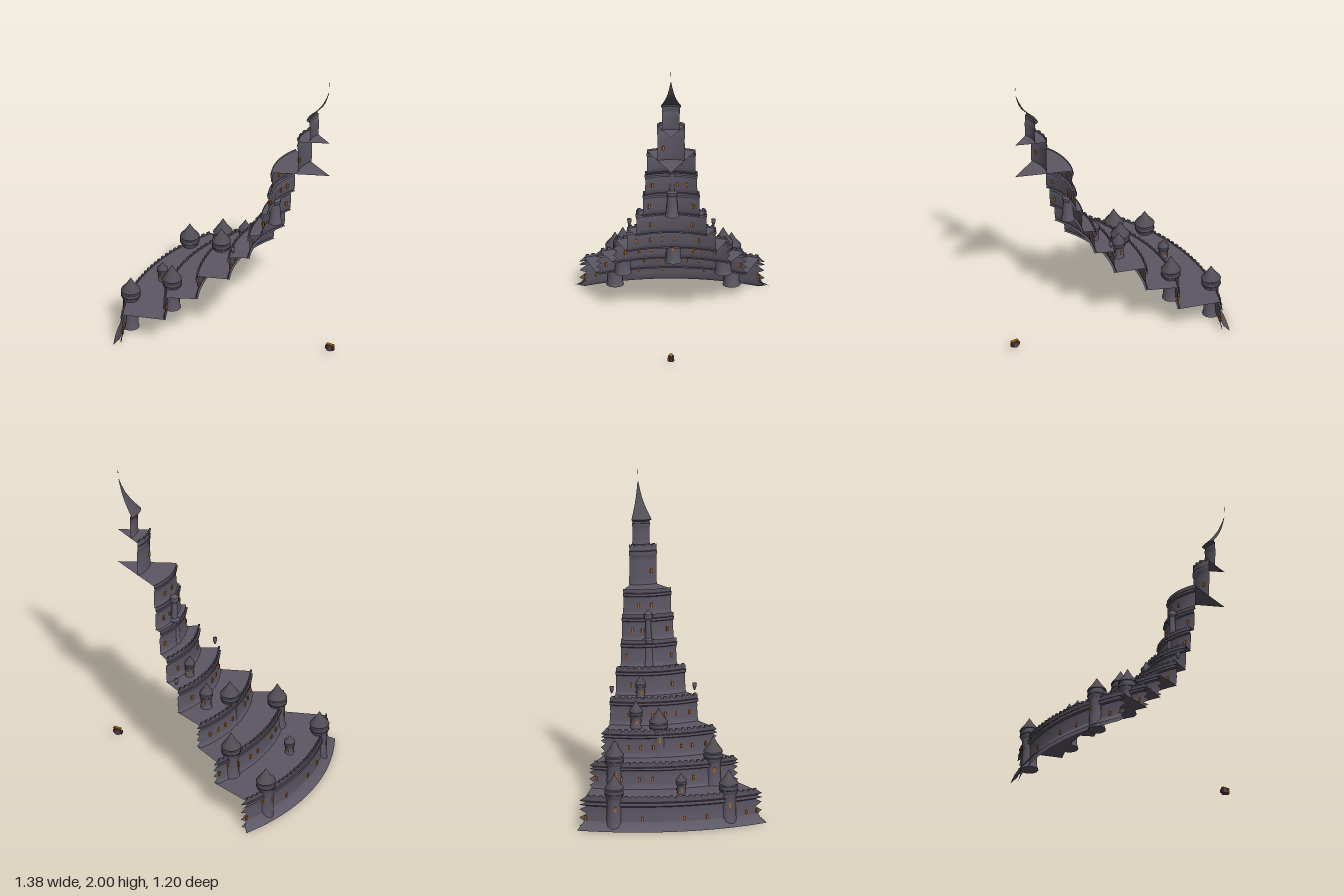
import * as THREE from 'three';
import { toCreasedNormals } from 'three/addons/utils/BufferGeometryUtils.js';

const AXIS = 0.66; // x of the vertical axis the wedge is swept around
const RAD = Math.PI / 180;

function mat(name, color, side = THREE.DoubleSide) {
  const m = new THREE.MeshStandardMaterial({ color, side });
  m.name = name;
  return m;
}

// Sweeps a profile of [radius, y, halfAngle] points around the axis
function sweep(profile, segs = 20) {
  const pos = [], idx = [];
  for (const [r, y, half] of profile) {
    for (let j = 0; j <= segs; j++) {
      const a = (j / segs * 2 - 1) * half * RAD;
      pos.push(AXIS - r * Math.cos(a), y, r * Math.sin(a));
    }
  }
  const w = segs + 1;
  for (let i = 0; i < profile.length - 1; i++) {
    for (let j = 0; j < segs; j++) {
      const p = i * w + j;
      idx.push(p, p + 1, p + w, p + 1, p + w + 1, p + w);
    }
  }
  const g = new THREE.BufferGeometry();
  g.setAttribute('position', new THREE.Float32BufferAttribute(pos, 3));
  g.setIndex(idx);
  return toCreasedNormals(g, 0.5);
}

export function createModel() {
  const root = new THREE.Group();
  root.name = 'tieredCastle';
  const stone = mat('stone', 0x5c5764);
  const roof = mat('roofSlate', 0x504d54);
  const dark = mat('darkTrim', 0x46424b);
  const glow = mat('windowGlow', 0xb0651a);
  const red = mat('ember', 0x7a2a20);

  const add = (name, geo, material, x = 0, y = 0, z = 0, parent = root) => {
    const m = new THREE.Mesh(geo, material);
    m.name = name;
    m.position.set(x, y, z);
    parent.add(m);
    return m;
  };
  // Places a mesh on a circle round the axis, facing outwards
  const onArc = (name, geo, material, r, y, a) => {
    const m = add(name, geo, material, AXIS - r * Math.cos(a), y, r * Math.sin(a));
    m.rotation.y = a;
    return m;
  };

  // Tiers: radius, base y, top y, half angle, jagged ends, window z positions
  const tiers = [
    { r: 1.3, y0: 0, y1: 0.2, a: 24.8, jag: 1.6, win: [0.54, 0.47, 0.21, 0.06, -0.2, -0.4, -0.54] },
    { r: 1.03, y0: 0.2, y1: 0.355, a: 25.8, jag: 1.4, win: [0.41, 0.17, 0.09, -0.09, -0.17, -0.28, -0.43] },
    { r: 0.83, y0: 0.355, y1: 0.515, a: 24.8, jag: 1.4, win: [0.29, 0.2, 0.13, -0.05, -0.13, -0.2, -0.27] },
    { r: 0.63, y0: 0.515, y1: 0.675, a: 26, jag: 0.3, win: [0.22, 0.13, 0.06, -0.02, -0.17] },
    { r: 0.505, y0: 0.675, y1: 0.84, a: 25.8, jag: 0, win: [0.13, -0.13] },
    { r: 0.425, y0: 0.84, y1: 1.0, a: 24.5, jag: 0, win: [0.14, -0.14] },
    { r: 0.385, y0: 1.0, y1: 1.155, a: 25, jag: 0, win: [0.12, -0.04, -0.1] },
    { r: 0.365, y0: 1.155, y1: 1.31, a: 24.5, jag: 0, win: [0.02, -0.06] },
    { r: 0.2, y0: 1.31, y1: 1.55, a: 25.5, jag: 0, win: [0.05] },
    { r: 0.125, y0: 1.55, y1: 1.7, a: 26, jag: 0, win: [] },
  ];
  tiers.forEach((t, i) => {
    const h = t.y1 - t.y0, s = Math.min(1, t.r * 2);
    const shape = [[0.012, 0], [0.002, 0.1], [0, 0.22], [-0.002, 0.36], [-0.004, 0.5], [-0.004, 0.62],
      [-0.003, 0.74], [0.008, 0.78], [0.008, 0.86], [-0.001, 0.9], [0.002, 1.06]];
    const wall = shape.map(([d, k], n) =>
      [t.r + d * s, t.y0 + h * k, t.a + (n % 2 ? t.jag : -t.jag * 0.3)]);
    add('tierWall', sweep(wall), stone);

    // Thin dark moulding under the parapet
    add('moulding', sweep([[t.r + 0.009 * s, t.y0 + h * 0.86, t.a], [t.r + 0.011 * s, t.y0 + h * 0.89, t.a],
      [t.r, t.y0 + h * 0.9, t.a]]), dark);

    // Terrace from this wall back to the next one, or to the axis near the top
    const next = tiers[i + 1];
    if (next) {
      const inner = i >= 7 ? 0.001 : next.r - 0.005;
      add('terrace', sweep([[t.r, t.y1, t.a], [inner, t.y1, next.a + next.jag * 0.5]]), stone);
    }

    // Low merlons along the parapet
    if (i < 5 || i === 8) {
      const count = Math.round(t.r * 2 * t.a * RAD / 0.04);
      const geo = new THREE.BoxGeometry(0.01, 0.014, 0.02);
      for (let k = 0; k < count; k++) {
        onArc('merlon', geo, stone, t.r, t.y1 + 0.012, ((k + 0.5) / count * 2 - 1) * t.a * RAD);
      }
    }

    // Lit windows, seen from both sides of the wall
    for (const z of t.win) {
      const a = Math.asin(z / t.r);
      for (const d of [-0.007, 0.004]) {
        onArc('window', new THREE.BoxGeometry(0.008, 0.026, 0.013), glow, t.r + d, t.y0 + h * 0.27 + 0.02, a);
      }
    }
  });

  // Sloping foot of the lowest wall
  add('baseFlare', sweep([[1.352, 0, 26.4], [1.335, 0.015, 26], [1.315, 0.03, 25.4], [1.303, 0.055, 25]]), stone);

  // Swept-up roof of the top turret
  add('spireRoof', sweep([[0.125, 1.695, 26], [0.145, 1.71, 26], [0.11, 1.745, 26], [0.075, 1.785, 26],
    [0.045, 1.83, 26], [0.02, 1.885, 26], [0.006, 1.925, 26]], 10), roof);
  add('finial', new THREE.CylinderGeometry(0.001, 0.002, 0.03, 5), dark, AXIS, 1.985, 0);

  // Round towers: x, z, base y, eaves y, tip y, roof radius
  const towers = [
    [-0.57, 0.355, 0, 0.27, 0.355, 0.062], [-0.57, -0.37, 0, 0.27, 0.355, 0.062],
    [-0.3, 0.305, 0.2, 0.415, 0.51, 0.062], [-0.3, -0.32, 0.2, 0.415, 0.51, 0.062],
    [-0.13, -0.01, 0.355, 0.575, 0.66, 0.06],
    [-0.03, -0.135, 0.51, 0.625, 0.69, 0.043],
    [0.115, -0.08, 0.67, 0.765, 0.82, 0.034],
    [-0.51, 0.065, 0.185, 0.285, 0.33, 0.035],
  ];
  const v = (a) => a.map(([x, y]) => new THREE.Vector2(x, y));
  for (const [x, z, y0, y1, tip, r] of towers) {
    const g = new THREE.Group();
    g.name = 'roundTower';
    g.position.set(x, 0, z);
    root.add(g);
    const crown = r * 1.1;
    add('towerShaft', toCreasedNormals(new THREE.LatheGeometry(v([[0, y0], [r * 0.9, y0],
      [r * 0.78, y0 + r * 0.4], [r * 0.76, y1 - crown], [r * 0.95, y1 - crown * 0.7],
      [r * 0.97, y1 - crown * 0.25], [r * 0.85, y1 - crown * 0.2], [r * 0.85, y1]]), 18), 0.6), stone, 0, 0, 0, g);
    add('towerRoof', toCreasedNormals(new THREE.LatheGeometry(v([[r * 0.8, y1 - 0.004], [r, y1 - 0.004],
      [r * 0.92, y1 + 0.006], [r * 0.45, y1 + (tip - y1) * 0.48], [0.0005, tip]]), 18), 0.6), roof, 0, 0, 0, g);
    const ring = add('towerRing', new THREE.TorusGeometry(r * 0.95, r * 0.05, 6, 18), dark, 0, y1 - crown * 0.6, 0, g);
    ring.rotation.x = Math.PI / 2;
    // Narrow lit slits round the shaft
    for (let k = 0; k < 4; k++) {
      const a = k * Math.PI / 2, d = r * 0.77;
      const slit = add('towerWindow', new THREE.BoxGeometry(0.012, r * 0.5, 0.006), glow,
        Math.sin(a) * d, y0 + (y1 - crown - y0) * 0.68, Math.cos(a) * d, g);
      slit.rotation.y = a;
    }
  }

  // Slim watchtower against the upper wall
  add('watchtower', toCreasedNormals(new THREE.LatheGeometry(v([[0, 0.84], [0.045, 0.84], [0.036, 0.87],
    [0.03, 0.98], [0.036, 0.99], [0.036, 1.005], [0.02, 1.015], [0.018, 1.13], [0.027, 1.145],
    [0.027, 1.17], [0.02, 1.175], [0.0005, 1.195]]), 12), 0.5), stone, 0.262, 0, -0.005);

  // Little hanging turrets at the ends of the fourth wall
  for (const side of [1, -1]) {
    add('hangingTurret', new THREE.LatheGeometry(v([[0, 0.705], [0.006, 0.71], [0.012, 0.73],
      [0.014, 0.75], [0, 0.75]]), 10), stone, 0.115, 0, side * 0.262);
  }

  // Small brazier on the axis
  add('brazierBowl', new THREE.CylinderGeometry(0.018, 0.022, 0.034, 10), dark, AXIS, 0.045, 0);
  add('brazierBar', new THREE.BoxGeometry(0.06, 0.022, 0.018), red, AXIS, 0.042, 0);
  add('brazierGlow', new THREE.BoxGeometry(0.05, 0.008, 0.018), glow, AXIS + 0.004, 0.065, 0);
  return root;
}
